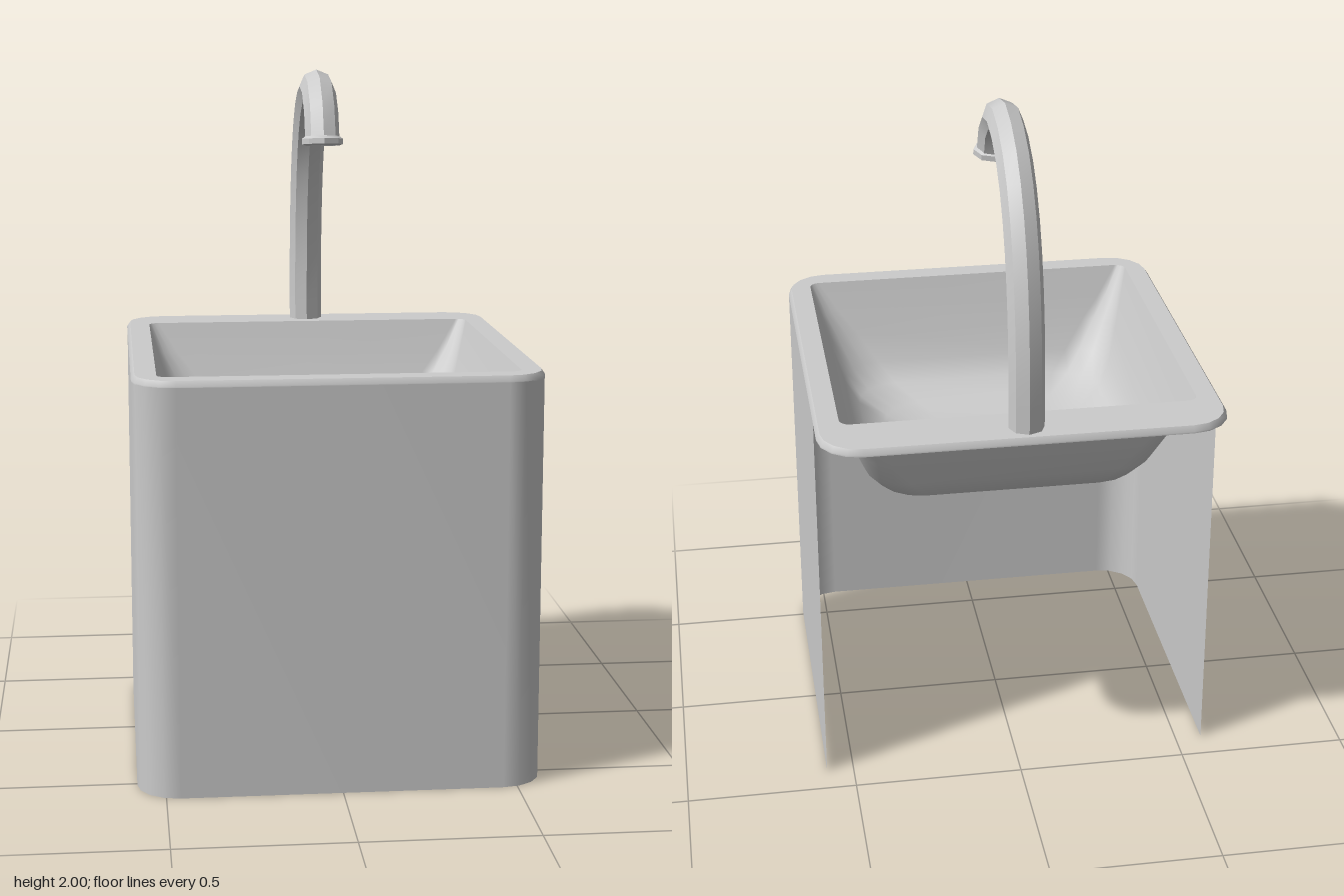
import * as THREE from 'three';
import { toCreasedNormals } from 'three/addons/utils/BufferGeometryUtils.js';

const steel = new THREE.MeshStandardMaterial({ color: 0xcccccc, side: THREE.DoubleSide });
const CORNER_STEPS = 4;

// Rounded rectangle in plan, as [x, z] points starting on the +x side and turning towards +z
function outline(hx, zBack, zFront, r) {
  const pts = [];
  const corners = [[1, zFront - r], [-1, zFront - r], [-1, zBack + r], [1, zBack + r]];
  corners.forEach(([side, cz], k) => {
    for (let i = 0; i <= CORNER_STEPS; i++) {
      const a = (k + i / CORNER_STEPS) * Math.PI / 2;
      pts.push([side * (hx - r) + r * Math.cos(a), cz + r * Math.sin(a)]);
    }
  });
  return pts;
}

// Surface through rings of equal point count; each ring is { y, pts }
function loft(rings, closed = true) {
  const n = rings[0].pts.length, pos = [], index = [];
  for (const { y, pts } of rings) for (const [x, z] of pts) pos.push(x, y, z);
  for (let r = 0; r < rings.length - 1; r++) {
    for (let i = 0; i < (closed ? n : n - 1); i++) {
      const j = (i + 1) % n, a = r * n, b = a + n;
      index.push(a + i, b + i, b + j, a + i, b + j, a + j);
    }
  }
  const g = new THREE.BufferGeometry();
  g.setAttribute('position', new THREE.Float32BufferAttribute(pos, 3));
  g.setIndex(index);
  g.computeVertexNormals();
  return g;
}

export function createModel() {
  const group = new THREE.Group();
  const add = (name, geometry) => {
    const m = new THREE.Mesh(geometry, steel);
    m.name = name;
    group.add(m);
    return m;
  };

  // Thin apron wrapping the front and both sides, open at the back
  const outer = outline(0.58, -0.63, 0.63, 0.12);
  const apron = [[0.58, -0.41], ...outer.slice(0, 2 * (CORNER_STEPS + 1)), [-0.58, -0.41]];
  add('apron', loft([{ y: 0, pts: apron }, { y: 1.172, pts: apron }], false));

  // Flat rim with a bevelled outer edge
  const mouth = outline(0.51, -0.465, 0.555, 0.03);
  const rim = loft([
    { y: 1.17, pts: mouth },
    { y: 1.17, pts: outer },
    { y: 1.175, pts: outer },
    { y: 1.19, pts: outline(0.57, -0.62, 0.62, 0.11) },
    { y: 1.19, pts: mouth },
  ]);
  add('rim', toCreasedNormals(rim, 0.75));

  // Bowl: [height, inset from the mouth, corner radius]
  const bowl = [
    [1.19, 0, 0.03], [1.1, 0.028, 0.06], [1.03, 0.053, 0.09], [0.94, 0.085, 0.12],
    [0.88, 0.125, 0.13], [0.84, 0.2, 0.12], [0.82, 0.3, 0.08], [0.815, 0.51, 0],
  ];
  add('basin', loft(bowl.map(([y, d, r]) => ({ y, pts: outline(0.51 - d, -0.465 + d, 0.555 - d, r) }))));

  // Eight-sided gooseneck passing through the rim, path given as [z, y]
  const path = new THREE.CatmullRomCurve3([
    [-0.555, 1.16], [-0.55, 1.4], [-0.52, 1.58], [-0.46, 1.74], [-0.37, 1.86],
    [-0.27, 1.925], [-0.16, 1.95], [-0.07, 1.925], [-0.01, 1.865], [0.015, 1.8],
  ].map(([z, y]) => new THREE.Vector3(0, y, z)));
  const neck = new THREE.TubeGeometry(path, 14, 0.051, 8, false);
  add('spout', toCreasedNormals(neck, 0.6));

  // Collar with a shallow outlet at the spout tip
  const collar = new THREE.LatheGeometry([
    [0, 0.004], [0.047, 0.004], [0.05, 0], [0.061, 0.004], [0.061, 0.02], [0.05, 0.028],
  ].map(([x, y]) => new THREE.Vector2(x, y)), 8);
  const tip = add('outletCollar', toCreasedNormals(collar, 0.5));
  tip.position.set(0, 1.784, 0.017);
  tip.rotation.x = -0.1;

  return group;
}
